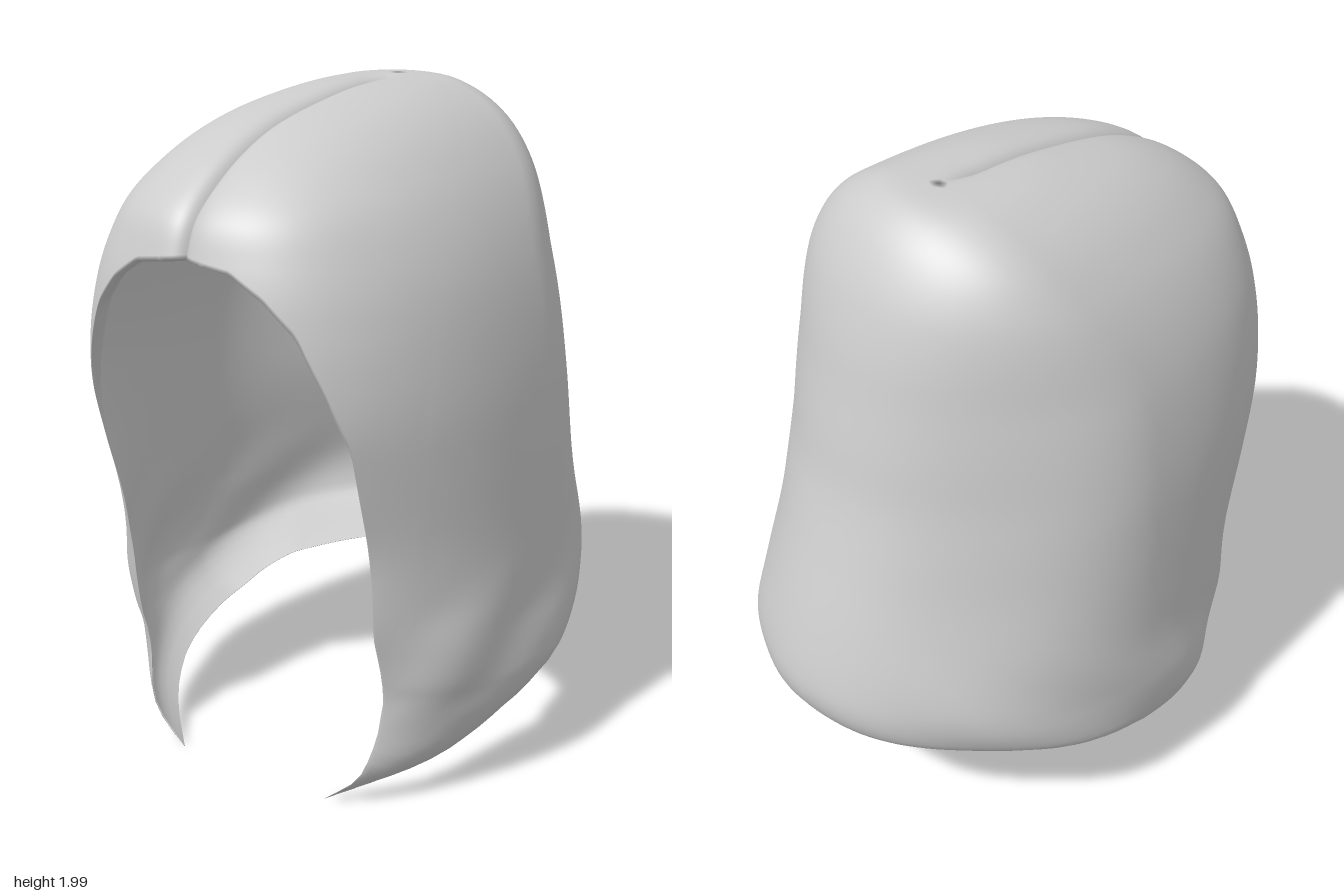
import * as THREE from 'three';

// Horizontal sections from crown to tips: [y, half width, front z, back z]
const SECTIONS = [
  [2.0, 0, -0.21, -0.21], [1.997, 0.11, 0.0, -0.3], [1.98, 0.2, 0.17, -0.355],
  [1.935, 0.295, 0.41, -0.41], [1.875, 0.375, 0.575, -0.455], [1.8, 0.443, 0.7, -0.495],
  [1.72, 0.498, 0.785, -0.525], [1.62, 0.548, 0.825, -0.553], [1.5, 0.59, 0.853, -0.578],
  [1.36, 0.622, 0.868, -0.608], [1.2, 0.645, 0.855, -0.64], [1.02, 0.657, 0.795, -0.695],
  [0.82, 0.664, 0.72, -0.762], [0.66, 0.67, 0.69, -0.808], [0.56, 0.677, 0.675, -0.82],
  [0.48, 0.685, 0.65, -0.795], [0.41, 0.687, 0.63, -0.735], [0.35, 0.68, 0.615, -0.64],
  [0.25, 0.645, 0.63, -0.5], [0.12, 0.555, 0.69, -0.4], [0, 0.33, 0.75, -0.3],
];

// Free edge from back centre, round the tip, up to the brow: [s, angle, y]
const HEM = [
  [0, 0, 0.36], [0.17, 0.53, 0.347], [0.32, 1.0, 0.315], [0.43, 1.57, 0.22],
  [0.5, 2.0, 0.1], [0.56, 2.39, 0.01], [0.6, 2.49, 0.15], [0.64, 2.54, 0.31],
  [0.7, 2.53, 0.6], [0.76, 2.5, 0.9], [0.81, 2.48, 1.15], [0.85, 2.55, 1.3],
  [0.88, 2.65, 1.45], [0.92, 2.79, 1.54], [0.96, 2.94, 1.6], [1, Math.PI, 1.62],
];

const curve = (pick) =>
  new THREE.CatmullRomCurve3(SECTIONS.map(pick), false, 'catmullrom', 0.5);
const outline = curve(([y, w, f]) => new THREE.Vector3(w, y, f));
const backLine = curve(([y, , , b]) => new THREE.Vector3(0, y, b));
const { smoothstep, lerp } = THREE.MathUtils;

// Section parameter at a given height
function paramAt(y) {
  let a = 0, b = 1;
  for (let i = 0; i < 30; i++) {
    const m = (a + b) / 2;
    if (outline.getPoint(m).y > y) a = m; else b = m;
  }
  return (a + b) / 2;
}

function hemAt(s) {
  let i = 1;
  while (i < HEM.length - 1 && HEM[i][0] < s) i++;
  const [s0, a0, y0] = HEM[i - 1], [s1, a1, y1] = HEM[i];
  const k = (s - s0) / (s1 - s0);
  return { angle: lerp(a0, a1, k), y: lerp(y0, y1, k) };
}

// Point on the hair; angle 0 is the back, PI the front
function surfacePoint(v, angle, side) {
  const o = outline.getPoint(v), back = backLine.getPoint(v).z;
  const front = angle > Math.PI / 2;
  const e = front ? 0.8 : 0.98;
  const sin = Math.pow(Math.max(0, Math.sin(angle)), e);
  const cos = Math.pow(Math.abs(Math.cos(angle)), e);
  const centre = -0.21 * smoothstep(o.y, 1.5, 2);
  // soft uneven folds low on the sides
  const low = smoothstep(o.y, 0.2, 0.4) * (1 - smoothstep(o.y, 0.5, 0.8));
  const fold = 1 + 0.012 * low * sin * Math.sin(angle * 9 + o.y * 13 + side);
  // back corners drawn in between neck and crown
  const waist = smoothstep(o.y, 0.5, 1.0) * (1 - smoothstep(o.y, 1.2, 1.9));
  const pinch = front ? 0 : (0.015 + 0.055 * waist) * Math.sin(2 * angle) ** 2;
  const r = fold * (1 - pinch);
  const p = new THREE.Vector3(
    side * Math.max(0, o.x) * sin * r, o.y,
    centre + ((front ? o.z : back) - centre) * cos * r);
  // centre parting
  const groove = 0.03 * Math.exp(-Math.abs(p.x) / 0.022) * smoothstep(p.z, -0.21, -0.05);
  p.y -= groove * smoothstep(o.y, 1.6, 1.9);
  p.z -= groove * (1 - smoothstep(o.y, 1.75, 1.97));
  return p;
}

function hairGeometry() {
  const N = 100, M = 72, LIP = 2, rows = M + LIP + 1;
  const points = [], index = [];
  for (let j = -N; j <= N; j++) {
    const side = j < 0 ? -1 : 1;
    const s = 1 - Math.pow(1 - Math.abs(j) / N, 1.6);
    const hem = hemAt(s), vEnd = paramAt(hem.y);
    const start = Math.PI * Math.pow(s, 1.5);
    const curl = 0.19 * (1 - smoothstep(s, 0.38, 0.54));
    let p;
    for (let i = 0; i <= M; i++) {
      const t = i / M;
      p = surfacePoint(vEnd * t, lerp(start, hem.angle, Math.pow(t, 1.15)), side);
      // bottom edge rolled under
      const near = Math.max(0, 1 - (p.y - hem.y) / 0.13);
      p.x *= 1 - curl * near * near;
      p.z *= 1 - curl * near * near;
      points.push(p);
    }
    // edge turned inward, strongest over the brow
    const w = Math.max(0.1, smoothstep(hem.y, 0.9, 1.4));
    for (const [dy, dz] of [[-0.008, -0.02], [0.004, -0.05]]) {
      points.push(new THREE.Vector3(
        p.x, Math.max(0, p.y + dy * w), p.z + dz * w * (s > 0.56 ? 1 : -0.5)));
    }
  }
  // join columns, splitting each quad along its shorter diagonal
  for (let j = 0; j < 2 * N; j++) {
    for (let i = 0; i < rows - 1; i++) {
      const a = j * rows + i, b = a + rows, c = a + 1, d = b + 1;
      if (i === 0) index.push(b, c, d);
      else if (points[b].distanceTo(points[c]) < points[a].distanceTo(points[d])) {
        index.push(a, c, b, b, c, d);
      } else index.push(a, d, b, a, c, d);
    }
  }
  const g = new THREE.BufferGeometry().setFromPoints(points);
  g.setIndex(index);
  g.computeVertexNormals();
  // the crown point is shared by every column
  for (let j = 0; j <= 2 * N; j++) g.attributes.normal.setXYZ(j * rows, 0, 1, 0);
  return g;
}

export function createModel() {
  const group = new THREE.Group();
  group.name = 'hairModel';
  const material = new THREE.MeshStandardMaterial({ color: 0xcccccc, side: THREE.DoubleSide });
  material.name = 'hair grey';
  const hair = new THREE.Mesh(hairGeometry(), material);
  hair.name = 'hair';
  group.add(hair);
  return group;
}
